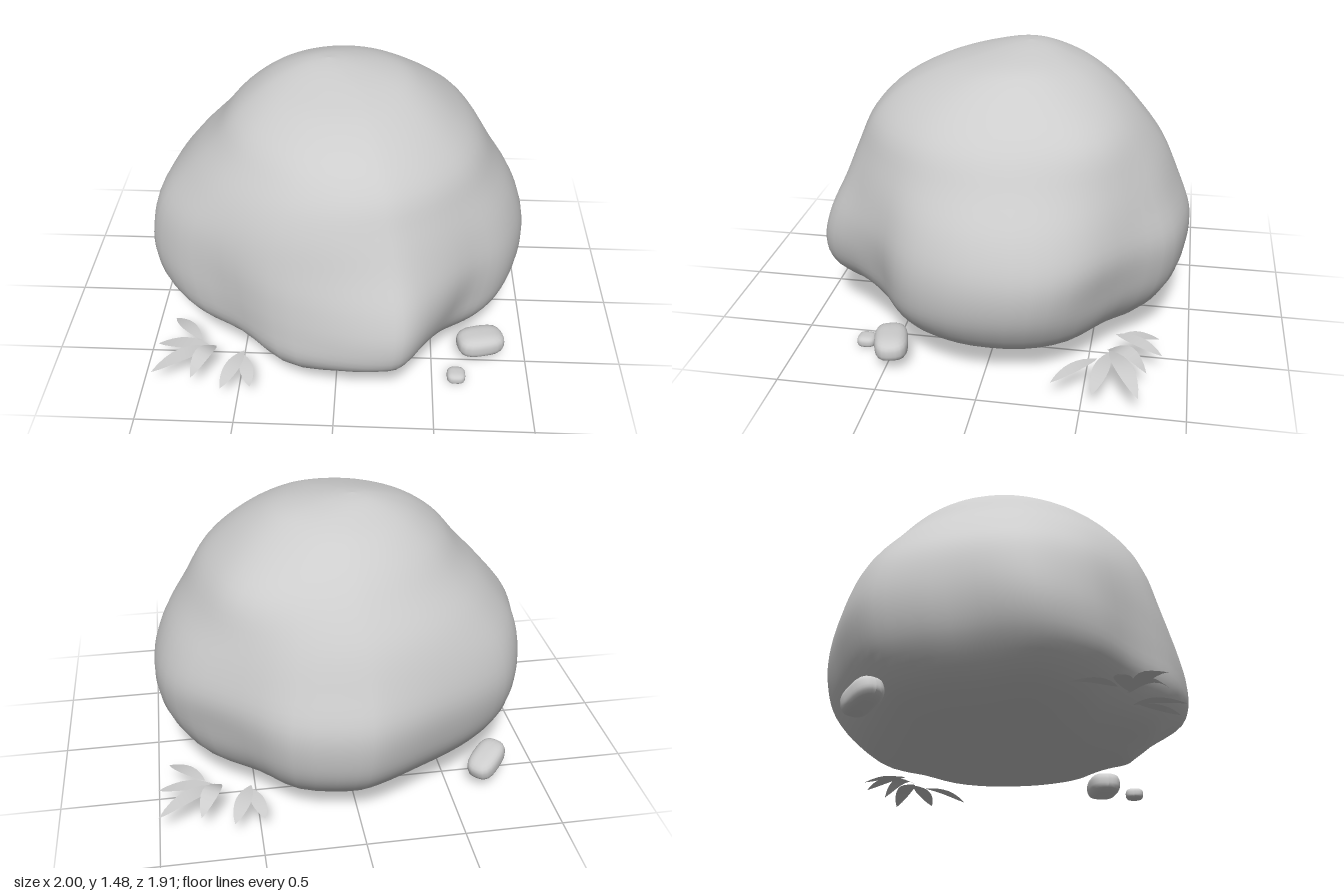
import * as THREE from 'three';

const grey = new THREE.MeshStandardMaterial({ color: 0xcccccc, side: THREE.DoubleSide });
grey.name = 'stoneGrey';

// Plan outline of the boulder at its widest (x, z), clockwise from the back
const OUTLINE = [
  [0.03, -0.97], [0.34, -0.9], [0.56, -0.7], [0.82, -0.5], [0.95, -0.25], [0.965, 0.05],
  [0.9, 0.28], [0.8, 0.44], [0.65, 0.58], [0.5, 0.77], [0.37, 0.93], [0.24, 0.96], [0, 0.92],
  [-0.3, 0.81], [-0.55, 0.63], [-0.8, 0.48], [-0.97, 0.28], [-1, 0.1], [-0.95, -0.12],
  [-0.92, -0.33], [-0.82, -0.55], [-0.65, -0.69], [-0.4, -0.82], [-0.14, -0.94],
];
// Height, then the reach to each side: y, xMin, xMax, zMin, zMax
const LEVELS = [
  [0.02, 0.06, 0.06, 0.25, 0.25], [0.04, -0.2, 0.3, -0.35, 0.6], [0.09, -0.5, 0.6, -0.65, 0.72],
  [0.17, -0.78, 0.8, -0.79, 0.82], [0.3, -0.92, 0.91, -0.9, 0.95], [0.45, -0.99, 0.965, -0.95, 0.965],
  [0.62, -1, 0.97, -0.955, 0.925], [0.8, -0.95, 0.91, -0.89, 0.85], [0.98, -0.81, 0.8, -0.81, 0.78],
  [1.14, -0.66, 0.7, -0.7, 0.7], [1.27, -0.55, 0.56, -0.58, 0.57], [1.37, -0.42, 0.42, -0.45, 0.38],
  [1.43, -0.3, 0.29, -0.32, 0.18], [1.467, -0.18, 0.08, -0.2, 0.01], [1.48, -0.07, -0.07, -0.1, -0.1],
];
// Hollows, or swellings where the depth is negative: x, y, z, radius, depth
const HOLLOWS = [
  [0.47, 1.18, -0.45, 0.24, -0.05], [0.66, 0.4, 0.58, 0.2, 0.03], [0.8, 0.45, -0.6, 0.2, 0.03],
  [0.38, 0.1, 0.75, 0.26, 0.12], [-0.2, 0.15, 0.72, 0.2, -0.06],
];

function boulderGeometry(around = 72, up = 56) {
  const plan = new THREE.CatmullRomCurve3(
    OUTLINE.map(([x, z]) => new THREE.Vector3(x, 0, z)), true, 'catmullrom');
  const spline = (a, b) => new THREE.CatmullRomCurve3(
    LEVELS.map((l) => new THREE.Vector3(l[0], l[a], l[b])), false, 'catmullrom');
  const xs = spline(1, 2), zs = spline(3, 4);
  const position = [], index = [];
  for (let j = 0; j <= up; j++) {
    const X = xs.getPoint(j / up), Z = zs.getPoint(j / up);
    // Rings become rounder towards the crown
    const round = 0.85 * THREE.MathUtils.smoothstep(X.x, 0.4, 1.1);
    for (let i = 0; i < around; i++) {
      const o = plan.getPoint(i / around);
      o.x = (o.x + 0.017) / 0.985;
      o.z /= 0.967;
      o.lerp(o.clone().normalize(), round);
      const p = new THREE.Vector3(
        (X.y + X.z) / 2 + o.x * (X.z - X.y) / 2, X.x, (Z.y + Z.z) / 2 + o.z * (Z.z - Z.y) / 2);
      for (const [x, y, z, r, depth] of HOLLOWS) {
        const d = p.distanceTo(new THREE.Vector3(x, y, z));
        const push = depth * Math.exp(-(d * d) / (r * r));
        p.x -= o.x * push;
        p.z -= o.z * push;
      }
      position.push(p.x, p.y, p.z);
      if (j < up) {
        const n = (i + 1) % around, a = j * around;
        index.push(a + i, a + around + i, a + n, a + n, a + around + i, a + around + n);
      }
    }
  }
  const g = new THREE.BufferGeometry();
  g.setAttribute('position', new THREE.Float32BufferAttribute(position, 3));
  g.setIndex(index);
  g.computeVertexNormals();
  return g;
}

// Flat pointed leaf that arches from root to tip
function leafGeometry([x0, z0, x1, z1, rise, width]) {
  const g = new THREE.PlaneGeometry(1, 1, 2, 8), p = g.attributes.position;
  const len = Math.hypot(x1 - x0, z1 - z0), nx = -(z1 - z0) / len, nz = (x1 - x0) / len;
  for (let i = 0; i < p.count; i++) {
    const t = 0.5 - p.getY(i);
    const w = p.getX(i) * 2 * width * Math.pow(Math.max(0, Math.sin(Math.PI * t)), 0.8);
    const y = 0.14 - 0.04 * t + rise * Math.sin(Math.PI * t);
    p.setXYZ(i, x0 + (x1 - x0) * t + nx * w, y, z0 + (z1 - z0) * t + nz * w);
  }
  g.computeVertexNormals();
  return g;
}

// Root x, root z, tip x, tip z, arch height, half width
const LEAVES = [
  [0.68, -0.61, 1, -0.77, 0.04, 0.045], [0.7, -0.61, 1, -0.555, 0.02, 0.04],
  [0.76, -0.56, 0.94, -0.35, 0.02, 0.035], [0.68, -0.6, 0.79, -0.8, 0.06, 0.045],
  [0.53, -0.63, 0.63, -0.87, 0.02, 0.04], [0.53, -0.66, 0.48, -0.85, 0.01, 0.035],
];

export function createModel() {
  const model = new THREE.Group();
  model.name = 'boulderWithLeaves';
  const add = (name, geometry, parent = model) => {
    const mesh = new THREE.Mesh(geometry, grey);
    mesh.name = name;
    parent.add(mesh);
    return mesh;
  };

  add('boulder', boulderGeometry());

  // Loose pebbles: centre, radii, turn, tilt
  const pebbles = [
    [[0.755, 0.12, 0.48], [0.125, 0.06, 0.085], 0.25, 0],
    [[0.625, 0.03, 0.65], [0.048, 0.03, 0.048], 0, 0],
    [[-0.71, 0.135, -0.6], [0.12, 0.06, 0.075], 0.785, -0.3],
  ];
  pebbles.forEach(([at, radii, turn, tilt], k) => {
    const g = new THREE.SphereGeometry(1, 24, 16), p = g.attributes.position;
    // Slightly squared sphere
    for (let i = 0; i < p.count; i++) {
      const v = new THREE.Vector3().fromBufferAttribute(p, i);
      v.divideScalar(Math.cbrt(Math.abs(v.x) ** 3 + Math.abs(v.y) ** 3 + Math.abs(v.z) ** 3));
      p.setXYZ(i, v.x, v.y, v.z);
    }
    g.scale(...radii);
    g.computeVertexNormals();
    const mesh = add('pebble' + (k + 1), g);
    mesh.position.set(...at);
    mesh.rotation.set(0, turn, tilt);
  });

  // Two leaf tufts on opposite corners
  [['backLeafTuft', 0, 0], ['frontLeafTuft', Math.PI, 0.05]].forEach(([name, turn, shift]) => {
    const tuft = new THREE.Group();
    tuft.name = name;
    tuft.rotation.y = turn;
    tuft.position.x = shift;
    LEAVES.forEach((leaf) => add('leaf', leafGeometry(leaf), tuft));
    model.add(tuft);
  });
  return model;
}
